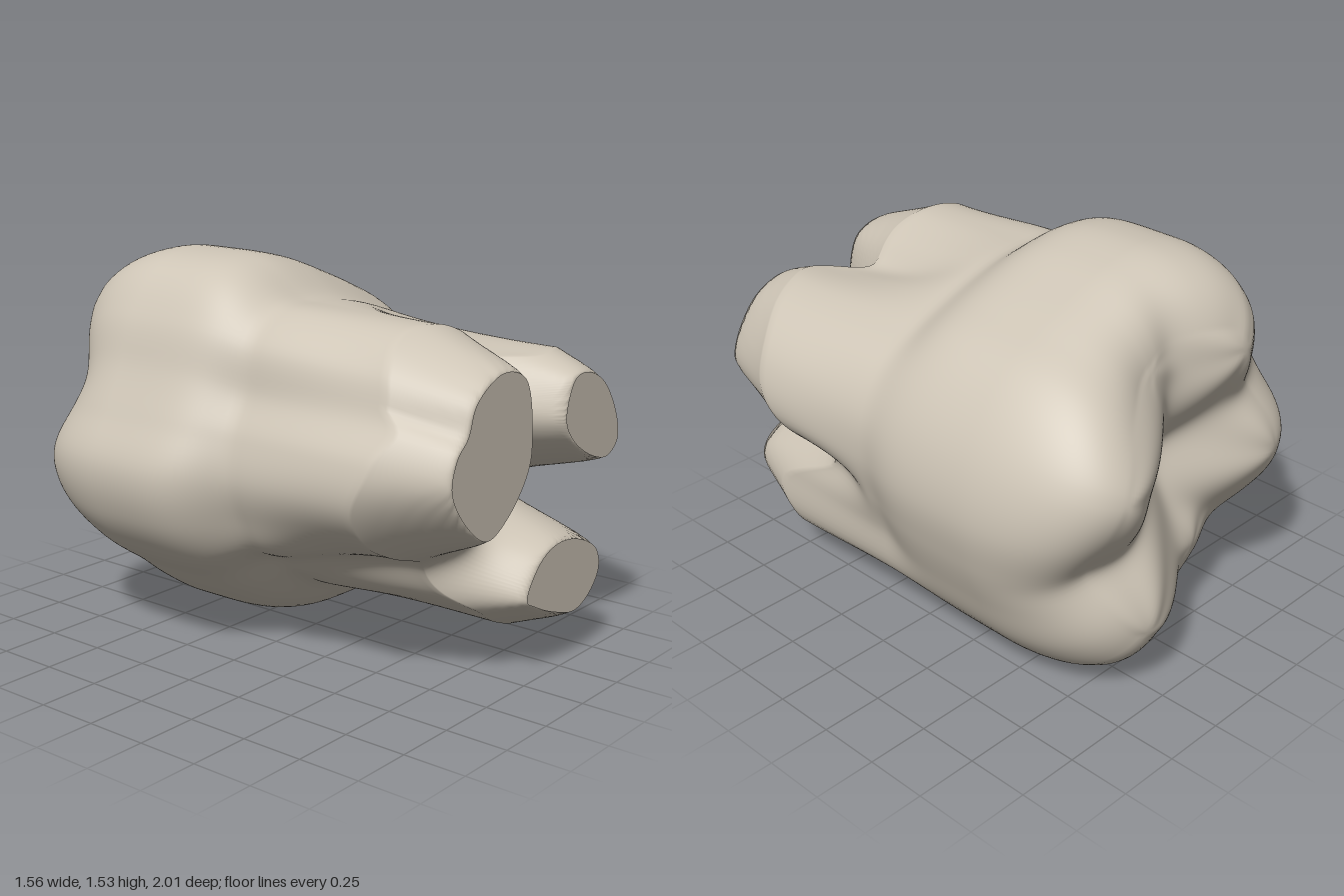
import * as THREE from 'three';

const material = new THREE.MeshStandardMaterial({ color: 0xcec5b6, side: THREE.DoubleSide });
const CY = 0.77; // height of the tooth's long axis, which runs along z
const lerp = THREE.MathUtils.lerp;

// Outline radii around the axis, every 15 degrees from +x towards +y
const CROWN = [.775, .77, .755, .735, .70, .70, .74, .795, .825, .78, .72, .728,
  .78, .766, .72, .67, .67, .70, .74, .79, .833, .815, .773, .765];
const NECK = [.72, .725, .695, .63, .59, .58, .595, .63, .69, .69, .615, .625,
  .63, .60, .575, .505, .51, .53, .56, .625, .73, .81, .72, .705];
const TRUNK = [.74, .75, .70, .61, .49, .45, .525, .61, .66, .65, .60, .63,
  .62, .55, .46, .38, .38, .46, .53, .64, .775, .82, .70, .63];

// Smooth periodic lookup in a radius table, t = 0..1 around the ring
function radius(table, t) {
  const n = table.length, f = t * n, i = Math.floor(f), u = f - i;
  const [a, b, c, d] = [-1, 0, 1, 2].map(k => table[(i + k + n) % n]);
  return b + 0.5 * u * (c - a + u * (2 * a - 5 * b + 4 * c - d + u * (3 * (b - c) + d - a)));
}

// Cusps and marginal ridges of the chewing surface: x, y, height
const CUSPS = [
  [0.50, 0.95, 1.035], [0.30, 0.30, 0.99], [-0.31, 1.20, 0.885], [-0.53, 0.70, 0.905],
  [0.10, 1.23, 0.77], [-0.20, 0.35, 0.77],
];
// Soft maximum of rounded cones, which leaves fissures between the cusps
function biteHeight(x, y) {
  let sum = 0;
  for (const [cx, cy, h] of CUSPS) {
    const dx = x - cx, dy = y - cy, d = Math.hypot(dx, dy);
    const wave = 0.04 * d * Math.cos(5 * Math.atan2(dy, dx) + 9 * cx);
    const soft = Math.sqrt(d * d + 0.01) - 0.1;
    sum += Math.exp((h - 0.45 * soft - 0.5 * d * d + wave) / 0.035);
  }
  return 0.035 * Math.log(sum);
}

// Outlines of the cut root ends
const ROOTS = [
  { name: 'largeRoot',
    tip: [[-.2, 1.23], [-.05, 1.18], [0, .95], [-.02, .84], [-.14, .7], [-.27, .64],
      [-.4, .72], [-.5, .87], [-.47, .98], [-.41, 1.04], [-.36, 1.15]] },
  { name: 'upperLeftRoot',
    tip: [[.23, 1.0], [.28, 1.12], [.36, 1.14], [.5, 1.08], [.61, .92], [.62, .83],
      [.55, .78], [.44, .8], [.3, .88], [.24, .95]] },
  { name: 'lowerLeftRoot',
    tip: [[0, .34], [.08, .46], [.2, .51], [.36, .49], [.5, .41], [.52, .33],
      [.46, .25], [.35, .205], [.2, .24], [.06, .3]] },
];
for (const root of ROOTS) {
  const points = root.tip.map(([x, y]) => new THREE.Vector3(x, y, 0)).reverse();
  root.outline = new THREE.CatmullRomCurve3(points, true).getPoints(140).slice(0, 140);
}

// Distance outside a root outline, 0 within it
function distanceTo(outline, x, y) {
  let best = Infinity, inside = false;
  outline.forEach((p, i) => {
    const q = outline[(i + 1) % outline.length];
    best = Math.min(best, Math.hypot(x - p.x, y - p.y));
    if ((p.y > y) !== (q.y > y) && x < p.x + (q.x - p.x) * (y - p.y) / (q.y - p.y)) {
      inside = !inside;
    }
  });
  return inside ? 0 : best;
}

const bump = (x, y, cx, cy, w) => Math.exp(-((x - cx) ** 2 + (y - cy) ** 2) / (w * w));

// Root end of the tooth: flaring roots joined by webs over the forks
function rootHeight(x, y) {
  const sum = ROOTS.reduce((total, { outline }) =>
    total + Math.exp(-2 * (distanceTo(outline, x, y) / 0.15) ** 1.4), 0);
  const e = Math.min(1, Math.sqrt(sum));
  const web = 0.4 * bump(x, y, -0.08, 0.55, 0.16) - 0.6 * bump(x, y, 0.57, 0.64, 0.24);
  return 0.45 + 0.545 * (e + web * (1 - e));
}

function makeBody() {
  const N = 180, rings = [];
  const ring = (radiusAt, zAt) => rings.push(Array.from({ length: N }, (_, j) => {
    const t = j / N, a = t * Math.PI * 2, r = radiusAt(t);
    const x = r * Math.cos(a), y = CY + r * Math.sin(a);
    return [x, y, zAt(x, y)];
  }));

  // Chewing surface; beyond the cusps it rounds over into the crown wall
  for (let i = 0; i < 80; i++) {
    const s = Math.sin((i / 80) * Math.PI / 2), k = Math.min(1, 0.7 / Math.max(s, 0.01));
    ring(t => s * radius(CROWN, t), (x, y) =>
      -0.45 - (biteHeight(x * k, CY + (y - CY) * k) - 0.45) * Math.sqrt(1 - s ** 6));
  }
  // Crown wall narrowing to the neck
  for (let i = 0; i <= 20; i++) {
    const u = i / 20, k = (1 + Math.cos(Math.PI * u ** 2.7)) / 2;
    ring(t => lerp(radius(NECK, t), radius(CROWN, t), k), () => lerp(-0.45, 0.12, u));
  }
  // Trunk, grooved towards the forks and swelling into the roots
  for (let i = 1; i <= 18; i++) {
    const u = i / 18;
    ring(t => lerp(radius(NECK, t), radius(TRUNK, t), u * u * (3 - 2 * u)),
      (x, y) => lerp(0.12, rootHeight(x, y), u));
  }
  // Roots and the forks between them
  for (let i = 1; i <= 100; i++) {
    ring(t => (1 - i / 100) * radius(TRUNK, t), rootHeight);
  }

  // Skin the rings from -z to +z
  const index = [];
  for (let i = 0; i < rings.length - 1; i++) {
    for (let j = 0; j < N; j++) {
      const k = (j + 1) % N, a = i * N + j, b = i * N + k, c = b + N, d = a + N;
      index.push(a, b, c, a, c, d);
    }
  }
  const geometry = new THREE.BufferGeometry();
  geometry.setAttribute('position', new THREE.Float32BufferAttribute(rings.flat(2), 3));
  geometry.setIndex(index);
  geometry.computeVertexNormals();
  const mesh = new THREE.Mesh(geometry, material);
  mesh.name = 'crownAndRoots';
  return mesh;
}

// Flat cut end of a root
function makeCut({ name, outline }) {
  const shape = new THREE.Shape(outline.map(p => new THREE.Vector2(p.x, p.y)));
  const cut = new THREE.Mesh(new THREE.ShapeGeometry(shape), material);
  cut.position.z = 1;
  cut.name = name + 'CutEnd';
  return cut;
}

export function createModel() {
  const model = new THREE.Group();
  model.name = 'molarTooth';
  model.add(makeBody(), ...ROOTS.map(makeCut));
  return model;
}
